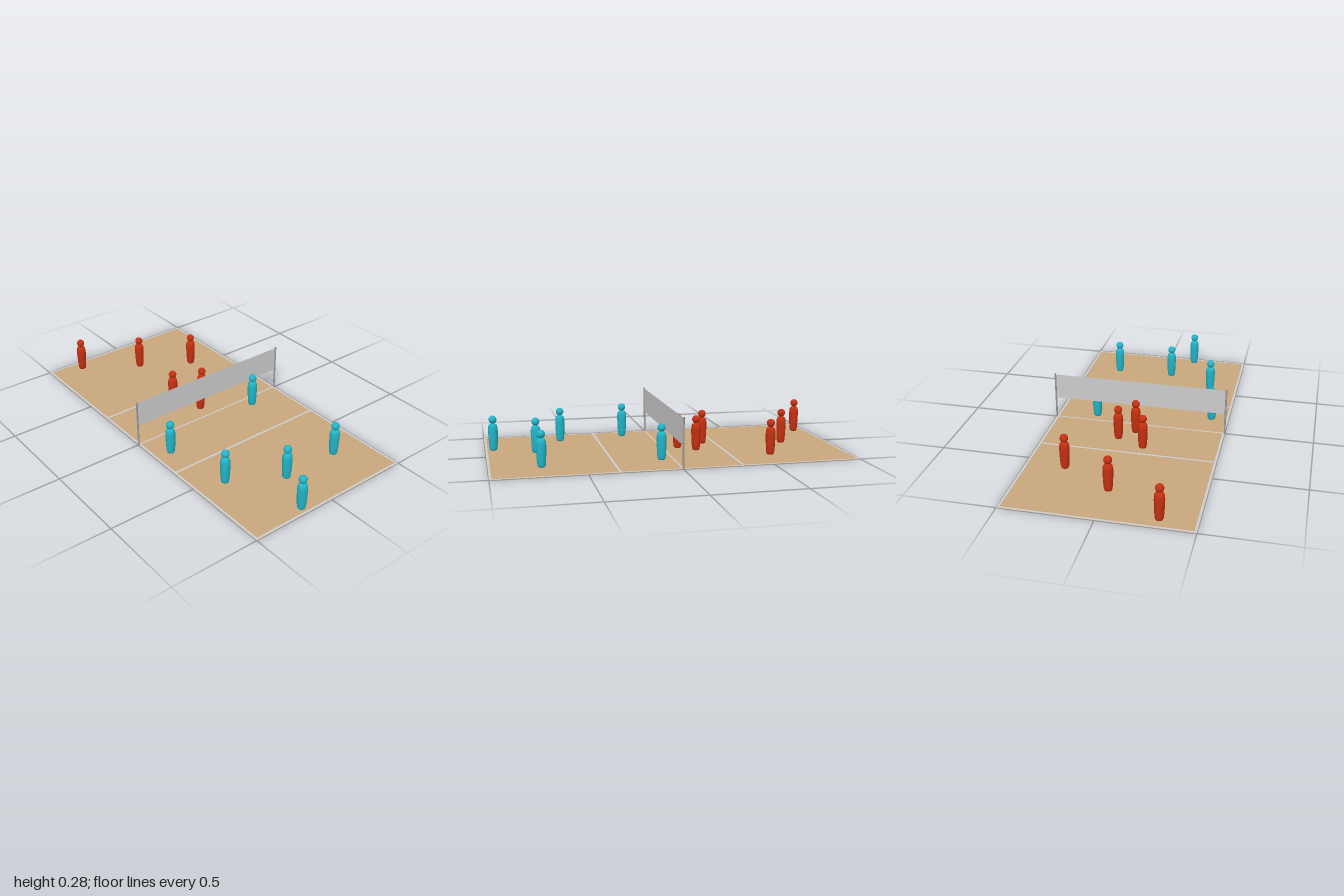
import * as THREE from 'three';

export function createModel() {
  const root = new THREE.Group();
  const flat = (name, color, side = THREE.FrontSide) => {
    const m = new THREE.MeshStandardMaterial({ color, side });
    m.name = name;
    return m;
  };
  const sand = flat('sand', 0xc8a67c, THREE.DoubleSide);
  const white = flat('line white', 0xcccccc);
  const netGrey = flat('net grey', 0xcccccc, THREE.DoubleSide);
  const postGrey = flat('post grey', 0x999999);
  const red = flat('red team', 0xc43010);
  const blue = flat('blue team', 0x22b4c6);

  const add = (parent, name, geometry, material, x, y, z) => {
    const mesh = new THREE.Mesh(geometry, material);
    mesh.name = name;
    mesh.position.set(x, y, z);
    parent.add(mesh);
    return mesh;
  };

  // Court floor
  add(root, 'court', new THREE.PlaneGeometry(2, 1).rotateX(-Math.PI / 2), sand, 0, 0, 0);

  // Painted lines: [name, x, z, width in x, depth in z]
  const w = 0.013;
  const lines = [
    ['centreLine', 0, 0, 0.01, 1],
    ['leftAttackLine', 0.333, 0, w, 1],
    ['rightAttackLine', -0.333, 0, w, 1],
    ['leftEndLine', 1 - w / 2, 0, w, 1],
    ['rightEndLine', -1 + w / 2, 0, w, 1],
    ['frontSideLine', 0, 0.5 - w / 2, 2 - 2 * w, w],
    ['backSideLine', 0, -0.5 + w / 2, 2 - 2 * w, w],
  ];
  for (const [name, x, z, sx, sz] of lines) {
    add(root, name, new THREE.PlaneGeometry(sx, sz).rotateX(-Math.PI / 2), white, x, 0.002, z);
  }

  // Net between two posts
  const net = new THREE.Group();
  net.name = 'net';
  root.add(net);
  add(net, 'netPanel', new THREE.PlaneGeometry(0.99, 0.147).rotateY(Math.PI / 2), netGrey, 0, 0.199, 0);
  const postGeometry = new THREE.CylinderGeometry(0.005, 0.005, 0.278, 16);
  for (const side of [1, -1]) {
    add(net, side > 0 ? 'frontPost' : 'backPost', postGeometry, postGrey, 0, 0.139, side * 0.499);
  }

  // Player pawn: rounded body and ball head
  const profile = [
    [0, 0], [0.014, 0], [0.019, 0.003], [0.022, 0.011], [0.0245, 0.035], [0.0265, 0.075],
    [0.0275, 0.115], [0.0268, 0.132], [0.0245, 0.144], [0.02, 0.152], [0.012, 0.157], [0, 0.158],
  ].map(([x, y]) => new THREE.Vector2(x, y));
  const bodyGeometry = new THREE.LatheGeometry(profile, 28);
  const headGeometry = new THREE.SphereGeometry(0.0225, 24, 16);

  const addTeam = (name, material, spots) => {
    const team = new THREE.Group();
    team.name = name;
    root.add(team);
    spots.forEach(([x, z], i) => {
      const player = new THREE.Group();
      player.name = `${name}Player${i + 1}`;
      player.position.set(x, 0, z);
      add(player, 'body', bodyGeometry, material, 0, 0, 0);
      add(player, 'head', headGeometry, material, 0, 0.179, 0);
      team.add(player);
    });
  };
  addTeam('red', red, [
    [-0.925, 0.305], [-0.725, 0], [-0.558, -0.28], [-0.258, 0.077], [-0.18, -0.08], [-0.09, 0],
  ]);
  addTeam('blue', blue, [
    [0.065, -0.267], [0.165, 0.4], [0.553, 0.333], [0.72, -0.29], [0.72, 0.055], [0.953, 0.167],
  ]);

  return root;
}
